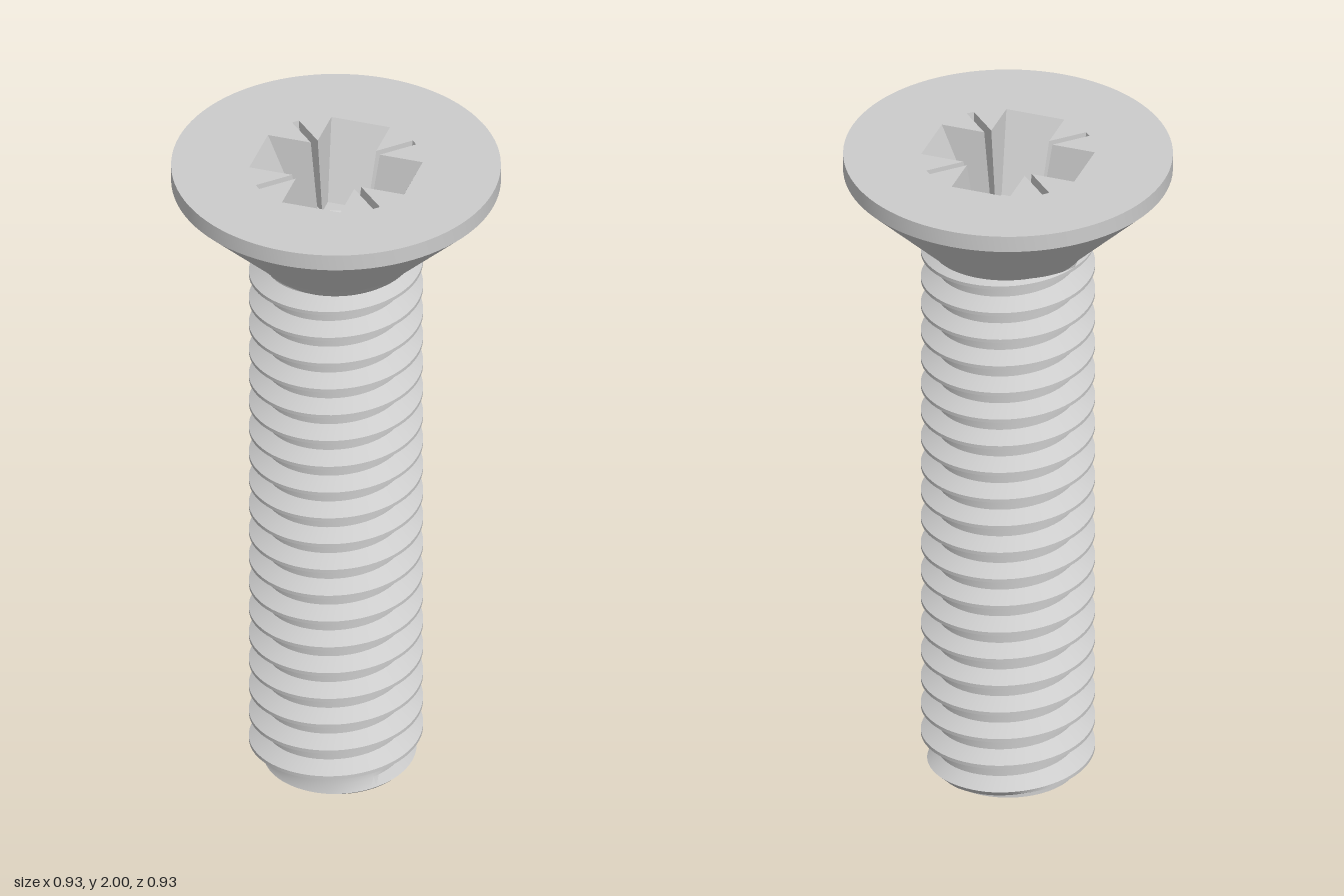
import * as THREE from 'three';
import { toCreasedNormals } from 'three/addons/utils/BufferGeometryUtils.js';

const PITCH = 0.0875, MAJOR = 0.247, MINOR = 0.2, SHAFT_TOP = 1.72;
const CREST_Y = 1.676 - 20 * PITCH; // crest height on the +x side, below the tip
const HEAD_R = 0.467;

const material = new THREE.MeshStandardMaterial({ color: 0xcccccc });
const doubleSided = new THREE.MeshStandardMaterial({ color: 0xcccccc, side: THREE.DoubleSide });

function addMesh(group, name, geometry, mat = material) {
  const mesh = new THREE.Mesh(geometry, mat);
  mesh.name = name;
  group.add(mesh);
  return mesh;
}

function fromTriangles(triangles) {
  const geometry = new THREE.BufferGeometry().setFromPoints(triangles);
  geometry.computeVertexNormals();
  return geometry;
}

// Radius of the thread at a phase measured in pitches from the crest centre
function threadRadius(phase, y) {
  const d = Math.abs(phase - Math.round(phase));
  const t = THREE.MathUtils.clamp((0.365 - d) / (0.365 - 0.06), 0, 1);
  return Math.min(MINOR + (MAJOR - MINOR) * t, 0.205 + y); // tip chamfer
}

// Right-handed helical surface whose rows follow the crest and root edges
function threadGeometry() {
  const segments = 72, breaks = [-0.365, -0.06, 0.06, 0.365];
  const rows = [];
  for (let turn = -2; turn <= 21; turn++) {
    for (const b of breaks) rows.push(turn + b);
  }
  const point = (row, i) => {
    const u = i / segments, a = u * Math.PI * 2;
    const y = THREE.MathUtils.clamp(CREST_Y + (row + u) * PITCH, 0, SHAFT_TOP);
    const r = threadRadius((y - CREST_Y) / PITCH - u, y);
    return new THREE.Vector3(r * Math.cos(a), y, -r * Math.sin(a));
  };
  const triangles = [];
  const addTriangle = (a, b, c) => {
    const area = b.clone().sub(a).cross(c.clone().sub(a)).length();
    if (area > 1e-9) triangles.push(a, b, c);
  };
  for (let k = 0; k < rows.length - 1; k++) {
    for (let i = 0; i < segments; i++) {
      const a = point(rows[k], i), b = point(rows[k], i + 1);
      const c = point(rows[k + 1], i + 1), d = point(rows[k + 1], i);
      addTriangle(a, b, c);
      addTriangle(a, c, d);
    }
  }
  return toCreasedNormals(fromTriangles(triangles), 0.5);
}

// Cross outline with a thin diagonal slot in each inner corner
function recessOutline(reach, halfWidth, slotReach, slotHalf) {
  const s = Math.SQRT1_2, k = halfWidth + slotHalf * Math.SQRT2;
  const quarter = [
    [reach, -halfWidth], [reach, halfWidth], [k, halfWidth],
    [(slotReach + slotHalf) * s, (slotReach - slotHalf) * s],
    [(slotReach - slotHalf) * s, (slotReach + slotHalf) * s],
    [halfWidth, k],
  ];
  const points = [];
  for (let q = 0; q < 4; q++) {
    for (const [x, y] of quarter) {
      points.push(new THREE.Vector2(x, y).rotateAround(new THREE.Vector2(), q * Math.PI / 2));
    }
  }
  return points;
}

function circlePath(Type, radius) {
  const path = new Type();
  path.absarc(0, 0, radius, 0, Math.PI * 2, false);
  return path;
}

function flatFace(shape, y) {
  return new THREE.ShapeGeometry(shape, 48).rotateX(-Math.PI / 2).translate(0, y, 0);
}

export function createModel() {
  const model = new THREE.Group();
  model.name = 'countersunkScrew';

  // Threaded shaft and its flat tip
  addMesh(model, 'thread', threadGeometry());
  addMesh(model, 'tip', new THREE.CircleGeometry(0.205, 72).rotateX(Math.PI / 2));

  // Neck, countersunk cone and straight rim
  const profile = [
    [MINOR, 1.685], [0.218, 1.7], [0.228, 1.715], [0.246, 1.733],
    [HEAD_R, 1.95], [HEAD_R, 2],
  ].map(([r, y]) => new THREE.Vector2(r, y));
  addMesh(model, 'head', toCreasedNormals(new THREE.LatheGeometry(profile, 96), 0.6));

  // Top face with the drive opening
  const floorY = 1.78, coneR = 0.098, coneDepth = 0.05;
  const opening = recessOutline(0.23, 0.087, 0.25, 0.011);
  const floor = recessOutline(0.128, 0.065, 0.225, 0.007);
  const top = circlePath(THREE.Shape, HEAD_R);
  top.holes.push(new THREE.Path(opening));
  addMesh(model, 'headTop', flatFace(top, 2));

  // Tapered recess walls
  const walls = [];
  const lift = (p, y) => new THREE.Vector3(p.x, y, -p.y);
  opening.forEach((p, i) => {
    const j = (i + 1) % opening.length;
    const t0 = lift(p, 2), t1 = lift(opening[j], 2);
    const b0 = lift(floor[i], floorY), b1 = lift(floor[j], floorY);
    walls.push(b0, t1, b1, b0, t0, t1);
  });
  addMesh(model, 'recessWalls', fromTriangles(walls));

  // Recess floor with a conical centre
  const floorShape = new THREE.Shape(floor);
  floorShape.holes.push(circlePath(THREE.Path, coneR));
  addMesh(model, 'recessFloor', flatFace(floorShape, floorY));
  const cone = new THREE.CylinderGeometry(coneR, 0, coneDepth, 64, 1, true);
  addMesh(model, 'recessCone', cone, doubleSided).position.y = floorY - coneDepth / 2;

  return model;
}
